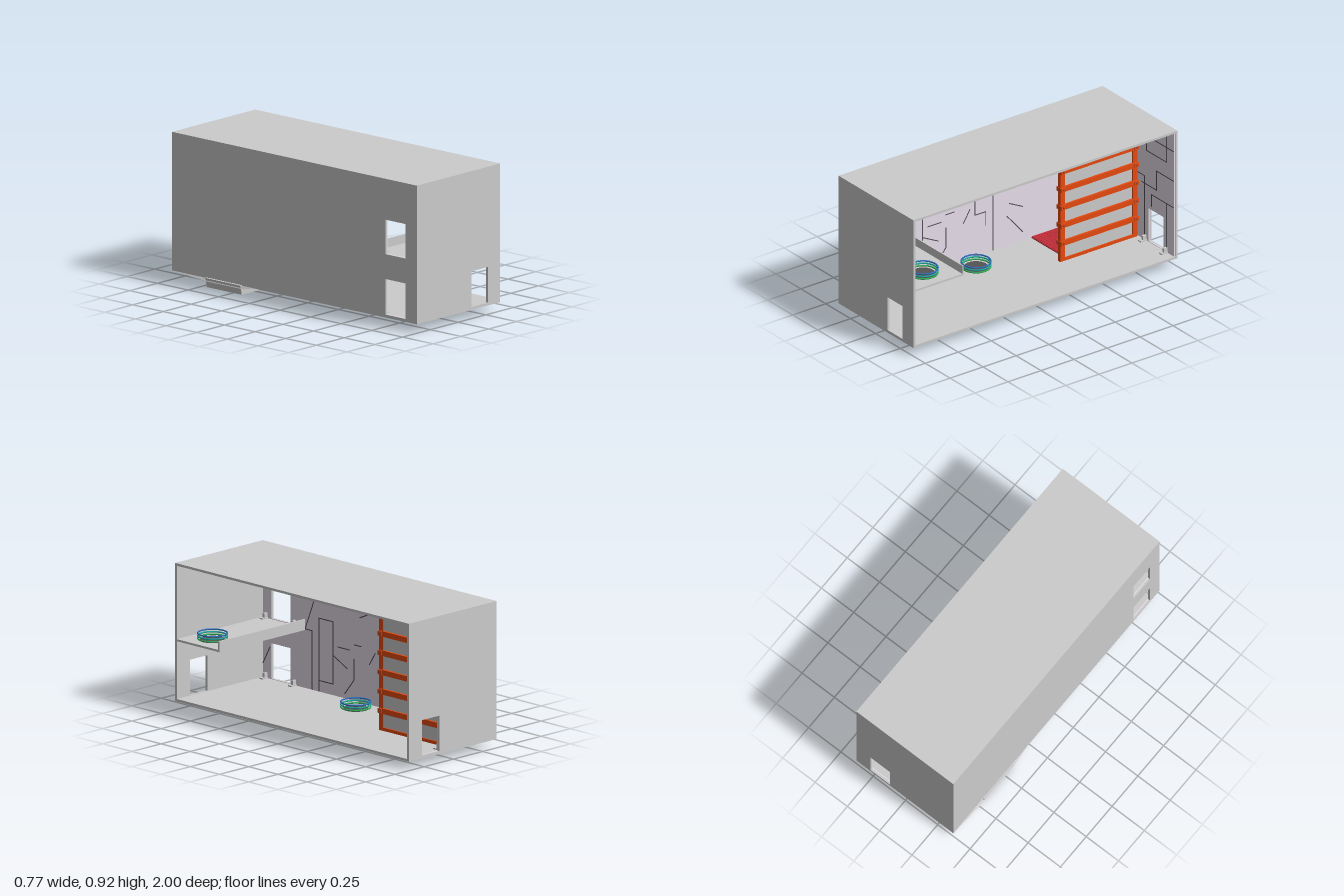
import * as THREE from 'three';
import { ConvexGeometry } from 'three/addons/geometries/ConvexGeometry.js';

const mat = (color, flatShading = false) =>
  new THREE.MeshStandardMaterial({ color, flatShading });
const grey = mat(0xcccccc, true), pale = mat(0xe8deea), groove = mat(0x55505a);
const orange = mat(0xe84a10), red = mat(0xc8303c), dark = mat(0x555555);
const purple = mat(0x8a3f88), teal = mat(0x1fa9a0), green = mat(0x2fae55), blue = mat(0x2f6fc0);

const add = (parent, name, geo, material) => {
  const m = new THREE.Mesh(geo, material);
  m.name = name;
  parent.add(m);
  return m;
};

// Box given by its limits on each axis
const box = (parent, name, x0, x1, y0, y1, z0, z1, material = grey) => {
  const m = add(parent, name, new THREE.BoxGeometry(x1 - x0, y1 - y0, z1 - z0), material);
  m.position.set((x0 + x1) / 2, (y0 + y1) / 2, (z0 + z1) / 2);
  return m;
};

// Upright slab with rectangular openings [u0, u1, y0, y1]
const slab = (parent, name, u0, u1, y0, y1, openings, depth, material) => {
  const rect = (T, a, b, c, d) => {
    const s = new T();
    s.moveTo(a, c); s.lineTo(b, c); s.lineTo(b, d); s.lineTo(a, d); s.closePath();
    return s;
  };
  const shape = rect(THREE.Shape, u0, u1, y0, y1);
  for (const o of openings) shape.holes.push(rect(THREE.Path, ...o));
  return add(parent, name, new THREE.ExtrudeGeometry(shape, { depth, bevelEnabled: false }), material);
};

// Dark seams along polylines in the (u, y) plane of a wall
const seams = (parent, name, lines) => {
  const g = new THREE.Group();
  g.name = name;
  for (const line of lines) {
    for (let i = 0; i + 1 < line.length; i++) {
      const [a, b] = line[i], [c, d] = line[i + 1];
      const m = add(g, 'seam', new THREE.BoxGeometry(Math.hypot(c - a, d - b) + 0.005, 0.006, 0.002), groove);
      m.position.set((a + c) / 2, (b + d) / 2, 0);
      m.rotation.z = Math.atan2(d - b, c - a);
    }
  }
  parent.add(g);
  return g;
};

// Tapered block between a bottom and a top rectangle [x0, x1, z0, z1]
const taper = (parent, name, bottom, yb, top, yt) => {
  const pts = [];
  for (const [[x0, x1, z0, z1], y] of [[bottom, yb], [top, yt]])
    for (const x of [x0, x1]) for (const z of [z0, z1]) pts.push(new THREE.Vector3(x, y, z));
  return add(parent, name, new ConvexGeometry(pts), grey);
};

// Stack of glowing rings on a low disc
const ringStack = (parent, x, y, z) => {
  const g = new THREE.Group();
  g.name = 'ringPad';
  add(g, 'padDisc', new THREE.CylinderGeometry(0.075, 0.08, 0.006, 32), dark).position.y = 0.003;
  [green, teal, blue].forEach((m, i) => {
    const r = add(g, 'ring', new THREE.TorusGeometry(0.09, 0.005, 8, 40), i === 1 ? teal : m);
    r.rotation.x = Math.PI / 2;
    r.position.y = 0.011 + i * 0.016;
  });
  g.position.set(x, y, z);
  parent.add(g);
};

export function createModel() {
  const model = new THREE.Group();
  model.name = 'hangarRoom';

  // Outer shell, open on the +x side
  box(model, 'floor', -0.37, 0.38, 0.055, 0.07, -1, 1);
  box(model, 'ceiling', -0.37, 0.38, 0.905, 0.92, -1, 1);
  const endDoor = [0.12, 0.27, 0.073, 0.295];
  const sideDoors = [[0.745, 0.908, 0.073, 0.295], [0.745, 0.908, 0.45, 0.665]];
  slab(model, 'frontWall', -0.37, 0.38, 0.07, 0.905, [endDoor], 0.015, grey).position.z = 0.985;
  slab(model, 'backWall', -0.37, 0.38, 0.07, 0.905, [endDoor], 0.015, grey).position.z = -1;
  const side = slab(model, 'sideWall', -0.985, 0.985, 0.07, 0.905, sideDoors, 0.012, grey);
  side.rotation.y = -Math.PI / 2;
  side.position.x = -0.358;

  // Pale lining panels inside
  const lining = slab(model, 'sideLining', -0.983, 0.983, 0.07, 0.905, sideDoors, 0.006, pale);
  lining.rotation.y = -Math.PI / 2;
  lining.position.x = -0.352;
  slab(model, 'backLining', -0.352, 0.375, 0.07, 0.905, [endDoor], 0.006, pale).position.z = -0.985;

  // Seams of the lining
  const sideSeams = seams(model, 'sideSeams', [
    [[0.88, 0.9], [0.81, 0.8], [0.81, 0.67]], [[0.74, 0.9], [0.74, 0.67]],
    [[0.63, 0.9], [0.63, 0.78], [0.55, 0.84]], [[0.67, 0.64], [0.58, 0.64], [0.58, 0.7]],
    [[0.5, 0.82], [0.38, 0.82], [0.38, 0.67], [0.5, 0.67], [0.5, 0.82]],
    [[0.54, 0.64], [0.62, 0.44], [0.56, 0.44], [0.56, 0.07]],
    [[0.5, 0.07], [0.5, 0.53], [0.38, 0.53], [0.38, 0.14], [0.5, 0.14]],
    [[0.38, 0.82], [0.25, 0.9]], [[0.34, 0.7], [0.24, 0.8]], [[0.38, 0.32], [0.26, 0.26]],
    [[0.34, 0.38], [0.24, 0.38]], [[0.28, 0.1], [0.2, 0.2], [0.2, 0.33]],
    [[0.11, 0.9], [0.11, 0.79], [0.05, 0.79], [0.05, 0.7], [-0.04, 0.64], [-0.04, 0.9]],
    [[0.15, 0.6], [0.08, 0.63]], [[0.2, 0.42], [0.14, 0.42]], [[0.07, 0.32], [0.02, 0.4]],
    [[-0.155, 0.9], [-0.155, 0.07]], [[-0.02, 0.51], [-0.02, 0.35], [-0.1, 0.35], [-0.1, 0.26]],
    [[-0.155, 0.78], [-0.29, 0.78], [-0.38, 0.86]], [[-0.22, 0.8], [-0.22, 0.52], [-0.38, 0.52]],
    [[-0.285, 0.74], [-0.285, 0.5]], [[-0.26, 0.27], [-0.38, 0.13]], [[-0.28, 0.35], [-0.38, 0.3]],
    [[-0.66, 0.9], [-0.66, 0.81], [-0.76, 0.81], [-0.76, 0.9]],
    [[0.98, 0.36], [0.83, 0.36], [0.83, 0.43]], [[0.98, 0.16], [0.92, 0.27]],
  ]);
  sideSeams.rotation.y = -Math.PI / 2;
  sideSeams.position.x = -0.3515;
  seams(model, 'backSeams', [
    [[-0.2, 0.9], [-0.2, 0.7], [-0.05, 0.7], [-0.05, 0.5], [0.08, 0.5], [0.08, 0.07]],
    [[0.3, 0.9], [0.3, 0.68], [0.1, 0.68], [0.1, 0.78], [-0.05, 0.78]],
    [[0.37, 0.58], [0.2, 0.58], [0.2, 0.45], [0.05, 0.45]], [[0.37, 0.4], [0.15, 0.4], [0.15, 0.32]],
    [[0.3, 0.4], [0.3, 0.1]], [[-0.35, 0.4], [-0.2, 0.4], [-0.2, 0.07]],
    [[0.37, 0.78], [0.18, 0.78], [0.18, 0.85]],
  ]).position.z = -0.9785;

  // Small posts beside every doorway
  for (const [u0, u1, y] of [[0.735, 0.92, 0.07], [0.735, 0.92, 0.445]])
    for (const z of [u0 - 0.03, u1 + 0.03]) {
      box(model, 'doorPost', -0.352, -0.325, y, y + 0.035, z - 0.008, z + 0.008);
      box(model, 'doorPostFoot', -0.352, -0.305, y, y + 0.008, z - 0.014, z + 0.014);
    }
  for (const x of [0.09, 0.3]) {
    box(model, 'doorPost', x - 0.008, x + 0.008, 0.07, 0.105, -0.979, -0.952);
    box(model, 'doorPostFoot', x - 0.014, x + 0.014, 0.07, 0.078, -0.979, -0.932);
  }

  // Raised balcony at the front end
  box(model, 'balconySlab', -0.352, 0.382, 0.433, 0.446, 0.625, 0.985);
  box(model, 'balconyRim', -0.352, 0.382, 0.433, 0.5, 0.62, 0.63);
  box(model, 'balconyLampFrame', -0.28, 0.29, 0.43, 0.434, 0.68, 0.965, dark);
  box(model, 'balconyLamp', -0.26, 0.27, 0.428, 0.434, 0.7, 0.945, purple);
  ringStack(model, 0.24, 0.446, 0.82);
  ringStack(model, -0.23, 0.07, 0.065);

  // Orange-framed shutter
  const shutter = new THREE.Group();
  shutter.name = 'shutter';
  box(shutter, 'shutterPlate', 0.004, 0.012, 0.075, 0.8, -0.95, -0.4);
  for (const z of [-0.403, -0.952])
    box(shutter, 'shutterUpright', -0.004, 0.02, 0.07, 0.81, z - 0.017, z + 0.017, orange);
  box(shutter, 'shutterSill', -0.004, 0.02, 0.07, 0.09, -0.95, -0.4, orange);
  box(shutter, 'shutterHead', -0.004, 0.02, 0.782, 0.81, -0.95, -0.4, orange);
  for (let i = 0; i < 5; i++) {
    const y = 0.194 + i * 0.121;
    box(shutter, 'shutterBar', -0.01, 0.026, y - 0.017, y + 0.017, -0.96, -0.395, orange);
    for (const z of [-0.4, -0.955]) {
      box(shutter, 'barBracket', -0.016, 0.032, y - 0.014, y + 0.014, z - 0.017, z + 0.017, orange);
      const bolt = add(shutter, 'bolt', new THREE.CylinderGeometry(0.005, 0.005, 0.056, 6), dark);
      bolt.rotation.z = Math.PI / 2;
      bolt.position.set(0.008, y, z);
    }
  }
  model.add(shutter);

  // Pit beneath the floor with its sloping surround
  taper(model, 'pitSurround', [-0.384, 0, -0.72, -0.43], 0.04, [-0.372, 0.12, -1, -0.3], 0.056);
  taper(model, 'pit', [-0.37, 0.01, -0.715, -0.43], 0, [-0.385, 0, -0.715, -0.43], 0.06);

  // Red grating over the pit
  const grate = new THREE.Group();
  grate.name = 'grating';
  box(grate, 'gratingBase', -0.345, -0.02, 0.069, 0.072, -0.7, -0.445, dark);
  for (let i = 0; i <= 16; i++) {
    const x = -0.34 + i * 0.0197;
    box(grate, 'gratingBar', x - 0.005, x + 0.005, 0.07, 0.08, -0.7, -0.445, red);
  }
  for (let i = 0; i <= 10; i++) {
    const z = -0.697 + i * 0.025;
    box(grate, 'gratingCrossBar', -0.345, -0.02, 0.07, 0.077, z - 0.005, z + 0.005, red);
  }
  model.add(grate);

  return model;
}
